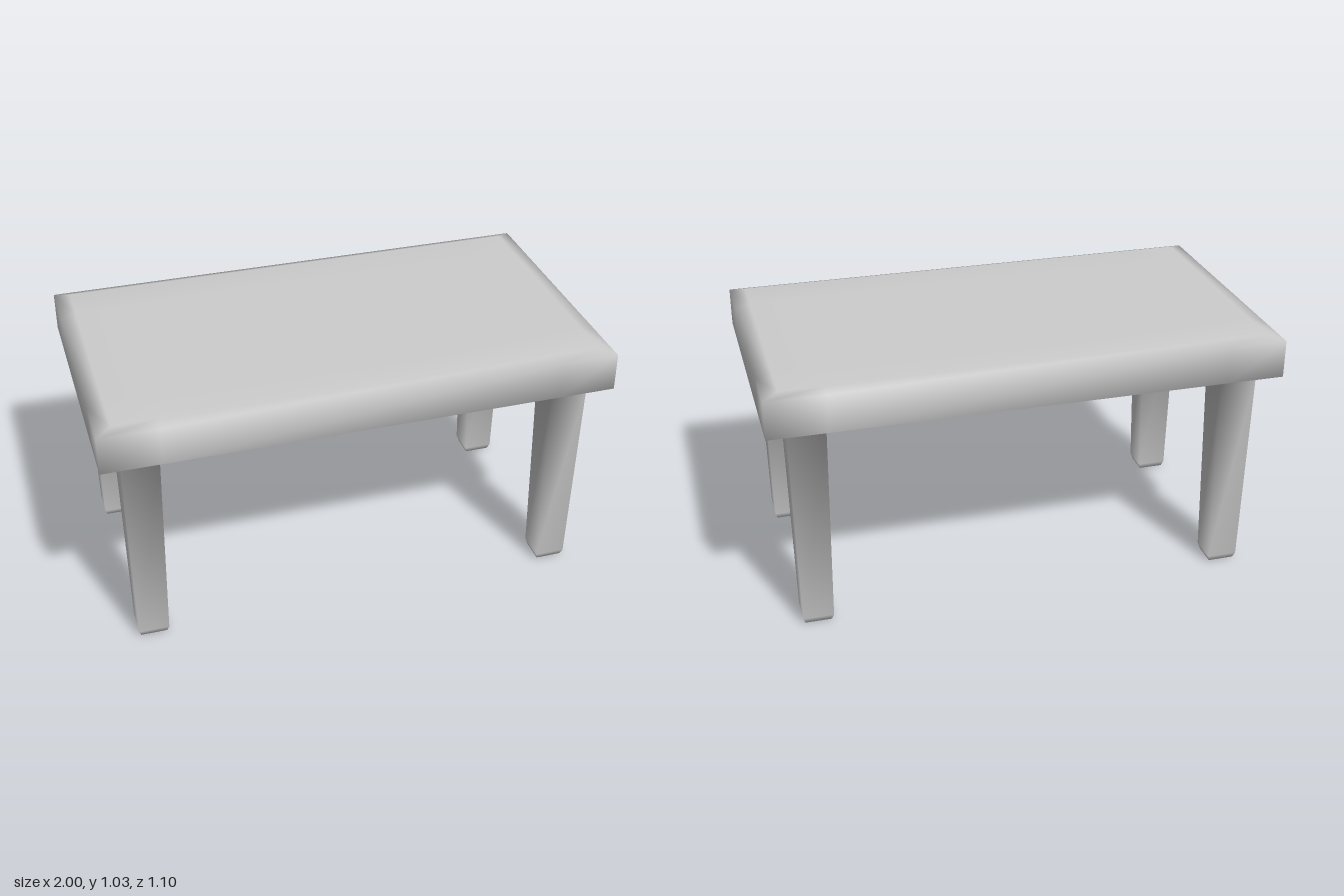
import * as THREE from 'three';

export function createModel() {
  const verts = [], topFaces = [], legFaces = [[], [], [], []];
  const add = (x, y, z) => verts.push(x, y, z) / 3 - 1;
  const quad = (out, a, b, c, d) => out.push(a, b, c, a, c, d);

  // Side walls between a lower and an upper loop
  const stitch = (out, lo, hi) => lo.forEach((a, i) => {
    const j = (i + 1) % lo.length;
    quad(out, lo[j], a, hi[i], hi[j]);
  });

  // 4 x 4 grid of points; inner lines follow the inner faces of the legs
  const level = (hx, hz, y) => [-hx, -0.772, 0.772, hx].map(
    x => [-hz, -0.338, 0.338, hz].map(z => add(x, y, z)));
  const rim = g => [0, 1, 2].map(i => g[i][0])
    .concat([0, 1, 2].map(j => g[3][j]), [3, 2, 1].map(i => g[i][3]), [3, 2, 1].map(j => g[0][j]));
  const cell = (g, i, j) => [g[i][j], g[i + 1][j], g[i + 1][j + 1], g[i][j + 1]];

  // Tabletop: bevelled slab
  const levels = [[0.918, 0.482, 0.837], [1, 0.548, 0.862], [1, 0.548, 1.012], [0.94, 0.503, 1.027]]
    .map(l => level(...l));
  for (let k = 0; k < 3; k++) stitch(topFaces, rim(levels[k]), rim(levels[k + 1]));
  let leg = 0;
  for (let i = 0; i < 3; i++) for (let j = 0; j < 3; j++) {
    quad(topFaces, ...cell(levels[3], i, j).reverse());
    const under = cell(levels[0], i, j);
    if (i === 1 || j === 1) { quad(topFaces, ...under); continue; }

    // Tapered leg growing out of each underside corner, with a bevelled foot
    const out = legFaces[leg++], sx = i - 1, sz = j - 1;
    const loop = (hx, hz, y) => [[-1, -1], [1, -1], [1, 1], [-1, 1]].map(
      ([u, v]) => add(sx * 0.845 + u * hx, y, sz * 0.41 + v * hz));
    const ankle = loop(0.06, 0.058, 0.025), foot = loop(0.052, 0.048, 0);
    stitch(out, ankle, under);
    stitch(out, foot, ankle);
    quad(out, ...foot);
  }

  // Shared smooth normals across the joints, then one mesh per part
  const whole = new THREE.BufferGeometry();
  whole.setAttribute('position', new THREE.Float32BufferAttribute(verts, 3));
  whole.setIndex([...topFaces, ...legFaces.flat()]);
  whole.computeVertexNormals();

  const material = new THREE.MeshStandardMaterial({ color: 0xcccccc });
  const group = new THREE.Group();
  group.name = 'table';
  const part = (name, faces) => {
    const geometry = whole.clone();
    geometry.setIndex(faces);
    const mesh = new THREE.Mesh(geometry.toNonIndexed(), material);
    mesh.name = name;
    group.add(mesh);
  };
  part('tabletop', topFaces);
  ['backRightLeg', 'frontRightLeg', 'backLeftLeg', 'frontLeftLeg'].forEach((n, i) => part(n, legFaces[i]));
  return group;
}
